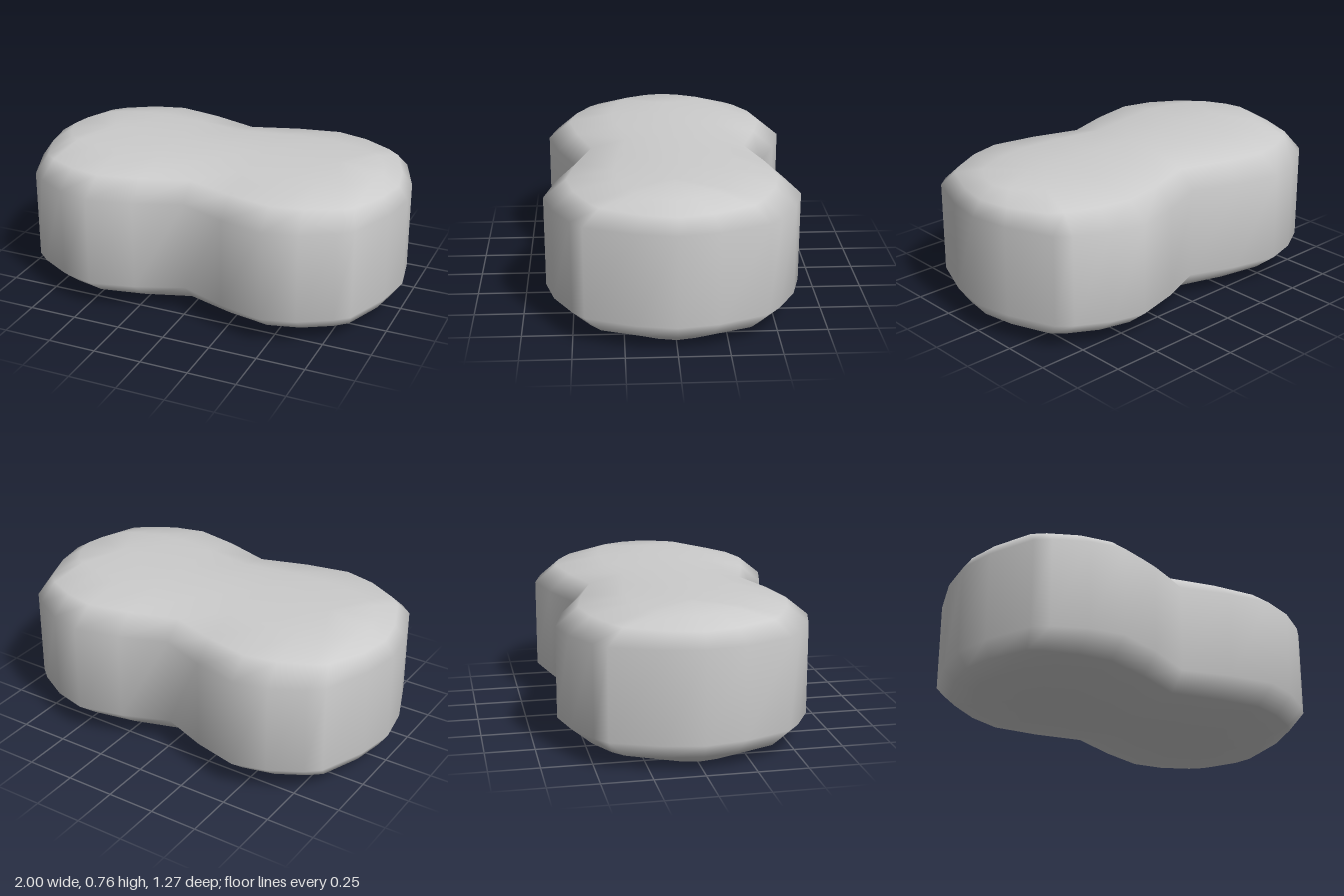
import * as THREE from 'three';
import { mergeVertices } from 'three/addons/utils/BufferGeometryUtils.js';

// One quarter of the two-lobed plan outline, from the end to the waist
const QUARTER = [[1, 0], [0.965, 0.2], [0.87, 0.44], [0.8, 0.5], [0.64, 0.59], [0.47, 0.635], [0.24, 0.58], [0, 0.487]];

// Rounded edge and crown: [height above middle, end pull-in, width scale, extra drop at the ends]
const RINGS = [[0.232, 0, 1, 0], [0.325, 0.05, 0.82, 0.02], [0.37, 0.13, 0.45, 0.012], [0.38, 0.33, 0, 0.002]];
const MIDDLE = 0.385;

function fullOutline() {
  const front = [...QUARTER, ...QUARTER.slice(0, -1).reverse().map(([x, z]) => [-x, z])];
  const back = front.slice(1, -1).reverse().map(([x, z]) => [x, -z]);
  return [...front, ...back];
}

function bodyGeometry() {
  const outline = fullOutline();
  const n = outline.length;
  const positions = [];
  const index = [];

  // Stack the rings from the bottom spine to the top spine
  const addRing = ([h, pull, width, drop], side) => {
    for (const [x, z] of outline) {
      positions.push(x * (1 - pull * x * x), MIDDLE + side * (h - drop * x ** 4), z * width);
    }
  };
  [...RINGS].reverse().forEach((r) => addRing(r, -1));
  RINGS.forEach((r) => addRing(r, 1));

  for (let k = 0; k < RINGS.length * 2 - 1; k++) {
    for (let i = 0; i < n; i++) {
      const j = (i + 1) % n;
      const a = k * n + i, b = k * n + j, c = a + n, d = b + n;
      index.push(a, c, b, b, c, d);
    }
  }

  // Weld the two halves along the spines so shading stays smooth
  let geometry = new THREE.BufferGeometry();
  geometry.setAttribute('position', new THREE.Float32BufferAttribute(positions, 3));
  geometry.setIndex(index);
  geometry = mergeVertices(geometry, 1e-4);
  geometry.computeVertexNormals();
  return geometry;
}

export function createModel() {
  const group = new THREE.Group();
  const body = new THREE.Mesh(bodyGeometry(), new THREE.MeshStandardMaterial({ color: 0xcccccc }));
  body.name = 'twoLobedBody';
  group.add(body);
  return group;
}
